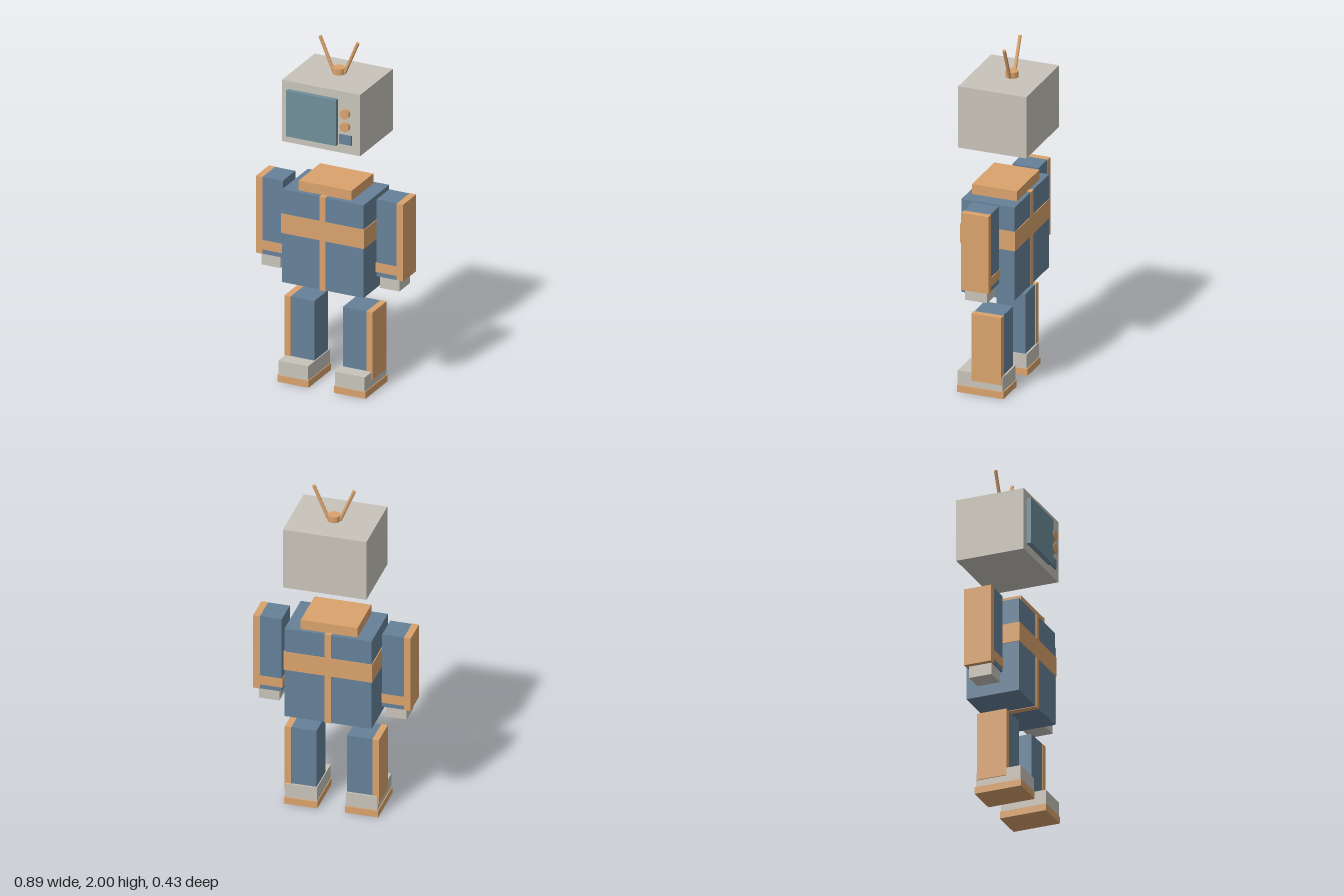
import * as THREE from 'three';

const mat = (color) => new THREE.MeshStandardMaterial({ color, flatShading: true });

export function createModel() {
  const blue = mat(0x668199), orange = mat(0xd9a26c), grey = mat(0xc8c4ba), glass = mat(0x708f9b);
  const model = new THREE.Group();
  model.name = 'robot';

  const group = (name) => {
    const g = new THREE.Group();
    g.name = name;
    model.add(g);
    return g;
  };
  const add = (parent, name, geometry, material) => {
    const mesh = new THREE.Mesh(geometry, material);
    mesh.name = name;
    parent.add(mesh);
    return mesh;
  };
  // Box given by its limits on each axis
  const box = (parent, name, material, [x0, x1], [y0, y1], [z0, z1]) => {
    const mesh = add(parent, name, new THREE.BoxGeometry(Math.abs(x1 - x0), y1 - y0, z1 - z0), material);
    mesh.position.set((x0 + x1) / 2, (y0 + y1) / 2, (z0 + z1) / 2);
    return mesh;
  };

  // Television head with screen, knobs and slot
  const head = group('head');
  box(head, 'headCase', grey, [-0.237, 0.237], [1.434, 1.797], [-0.215, 0.185]);
  box(head, 'screen', glass, [-0.2, 0.104], [1.48, 1.75], [0.18, 0.213]);
  box(head, 'slot', blue, [0.115, 0.188], [1.49, 1.545], [0.18, 0.195]);
  for (const y of [1.672, 1.595]) {
    const knob = add(head, 'knob', new THREE.CylinderGeometry(0.028, 0.028, 0.027, 12), orange);
    knob.rotation.x = Math.PI / 2;
    knob.position.set(0.151, y, 0.194);
  }

  // Antenna
  const antenna = group('antenna');
  const base = add(antenna, 'antennaBase', new THREE.CylinderGeometry(0.036, 0.036, 0.04, 16), orange);
  base.position.set(0, 1.812, -0.035);
  for (const s of [-1, 1]) {
    const a = new THREE.Vector3(s * 0.034, 1.804, -0.035);
    const b = new THREE.Vector3(s * 0.115, 1.996, -0.035);
    const dir = b.clone().sub(a);
    const rod = add(antenna, 'antennaRod', new THREE.CylinderGeometry(0.01, 0.01, dir.length(), 8), orange);
    rod.position.copy(a).add(b).multiplyScalar(0.5);
    rod.quaternion.setFromUnitVectors(new THREE.Vector3(0, 1, 0), dir.normalize());
  }

  // Torso with crossing bands and collar
  const torso = group('torso');
  box(torso, 'torsoBody', blue, [-0.247, 0.247], [0.587, 1.137], [-0.151, 0.162]);
  box(torso, 'chestBand', orange, [-0.252, 0.252], [0.88, 0.993], [-0.155, 0.167]);
  box(torso, 'centreStrip', orange, [-0.019, 0.019], [0.584, 1.139], [-0.154, 0.166]);
  box(torso, 'collar', orange, [-0.161, 0.161], [1.137, 1.195], [-0.13, 0.135]);

  // Mirrored limbs: s = 1 is the left side
  for (const s of [1, -1]) {
    const side = s > 0 ? 'left' : 'right';
    const arm = group(side + 'Arm');
    box(arm, 'sleeve', blue, [s * 0.285, s * 0.408], [0.692, 1.147], [-0.075, 0.079]);
    box(arm, 'armPanel', orange, [s * 0.408, s * 0.447], [0.692, 1.147], [-0.078, 0.082]);
    box(arm, 'cuff', orange, [s * 0.281, s * 0.445], [0.718, 0.773], [-0.078, 0.082]);
    box(arm, 'hand', grey, [s * 0.303, s * 0.419], [0.624, 0.7], [-0.06, 0.072]);

    const leg = group(side + 'Leg');
    box(leg, 'trouser', blue, [s * 0.087, s * 0.23], [0.08, 0.478], [-0.077, 0.092]);
    box(leg, 'legPanel', orange, [s * 0.23, s * 0.267], [0.08, 0.478], [-0.08, 0.095]);
    box(leg, 'shoe', grey, [s * 0.082, s * 0.262], [0.038, 0.125], [-0.087, 0.178]);
    box(leg, 'sole', orange, [s * 0.078, s * 0.267], [0, 0.04], [-0.093, 0.181]);
  }
  return model;
}
